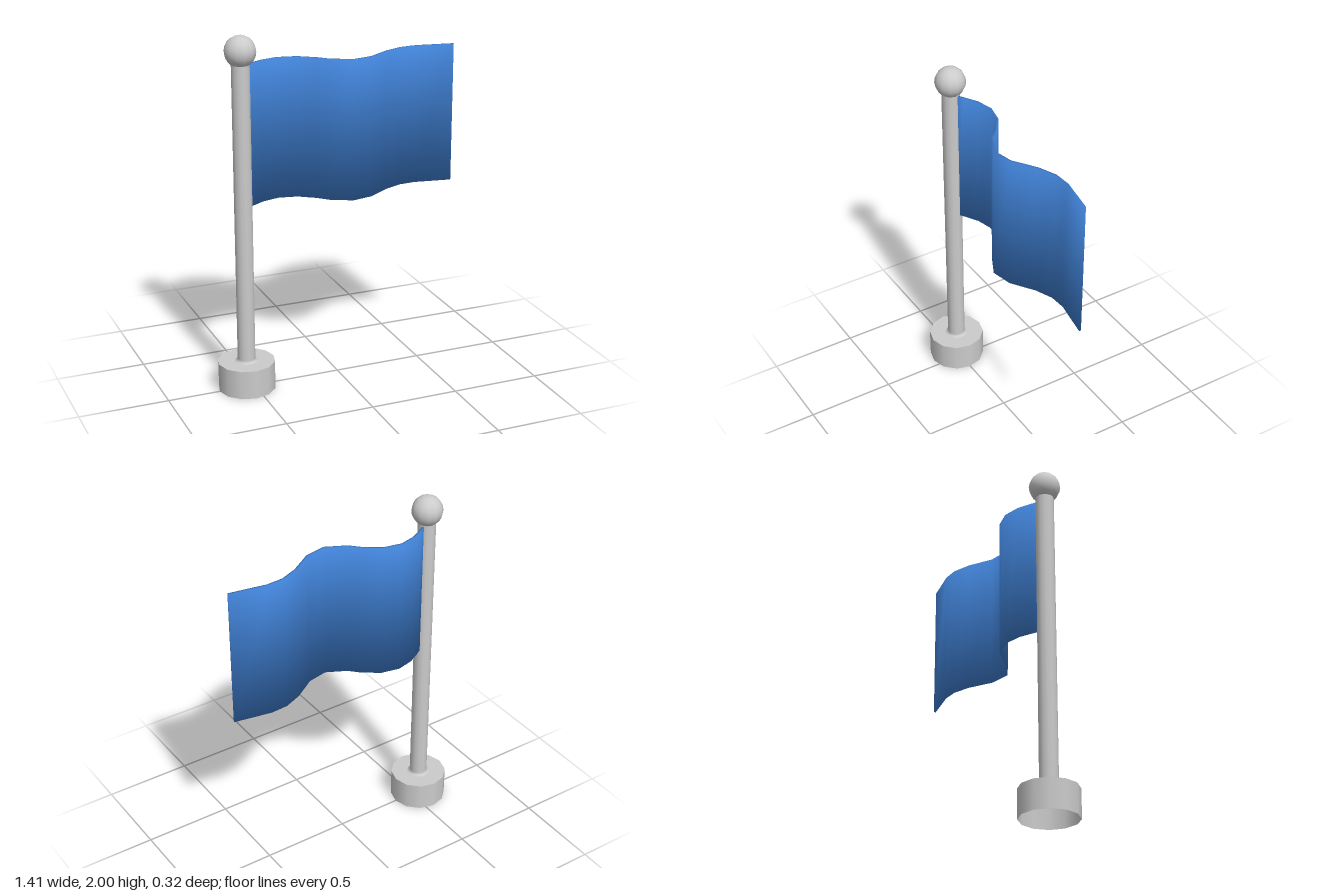
import * as THREE from 'three';

const POLE_X = -0.545;

function makeMaterial(color) {
  return new THREE.MeshStandardMaterial({ color, side: THREE.DoubleSide });
}

// Thin cloth: a box bent along a plan-view path, with softly rounded normals
function makeCloth(path, bottom, top, thickness) {
  const last = path.length - 1;
  const geo = new THREE.BoxGeometry(1, 1, 1, last, 1, 1);
  const pos = geo.attributes.position;
  const nor = geo.attributes.normal;
  const n = new THREE.Vector3();
  for (let i = 0; i < pos.count; i++) {
    const k = Math.round((pos.getX(i) + 0.5) * last);
    const up = Math.sign(pos.getY(i));
    const side = Math.sign(pos.getZ(i));
    const a = path[Math.max(k - 1, 0)];
    const b = path[Math.min(k + 1, last)];
    const len = Math.hypot(b[0] - a[0], b[1] - a[1]);
    const tx = (b[0] - a[0]) / len;
    const tz = (b[1] - a[1]) / len;
    const off = side * thickness / 2;
    pos.setXYZ(i, path[k][0] - tz * off, up > 0 ? top : bottom, path[k][1] + tx * off);
    const end = k === 0 ? -1 : k === last ? 1 : 0;
    n.set(-tz * side + tx * end, up, tx * side + tz * end).normalize();
    nor.setXYZ(i, n.x, n.y, n.z);
  }
  return geo;
}

export function createModel() {
  const group = new THREE.Group();
  const grey = makeMaterial(0xcccccc);
  const blue = makeMaterial(0x3f7fd2);

  function add(name, geo, material, x = 0, y = 0) {
    const mesh = new THREE.Mesh(geo, material);
    mesh.name = name;
    mesh.position.set(x, y, 0);
    group.add(mesh);
  }

  // Hollow base: wall and top disc, open underneath
  add('baseWall', new THREE.CylinderGeometry(0.16, 0.16, 0.163, 12, 1, true), grey, POLE_X, 0.0815);
  const disc = new THREE.CircleGeometry(0.16, 12);
  disc.rotateX(-Math.PI / 2);
  add('baseTop', disc, grey, POLE_X, 0.163);

  // Pole with a small flare at the foot
  const profile = [[0.066, 0.163], [0.055, 0.168], [0.05, 0.18], [0.05, 1.845]];
  add('pole', new THREE.LatheGeometry(profile.map(([r, y]) => new THREE.Vector2(r, y)), 12), grey, POLE_X);

  // Ball on top of the pole
  add('finial', new THREE.SphereGeometry(0.086, 12, 10), grey, POLE_X, 1.914);

  // Waving flag, path given as x, z seen from above
  const wave = [
    [-0.53, -0.005], [-0.47, -0.043], [-0.4, -0.083], [-0.305, -0.107], [-0.2, -0.085],
    [-0.11, -0.021], [-0.058, 0.034], [0.055, 0.092], [0.173, 0.067], [0.3, -0.018],
    [0.4, -0.059], [0.495, -0.065], [0.703, -0.028],
  ];
  add('flag', makeCloth(wave, 1.05, 1.836, 0.011), blue);

  return group;
}
